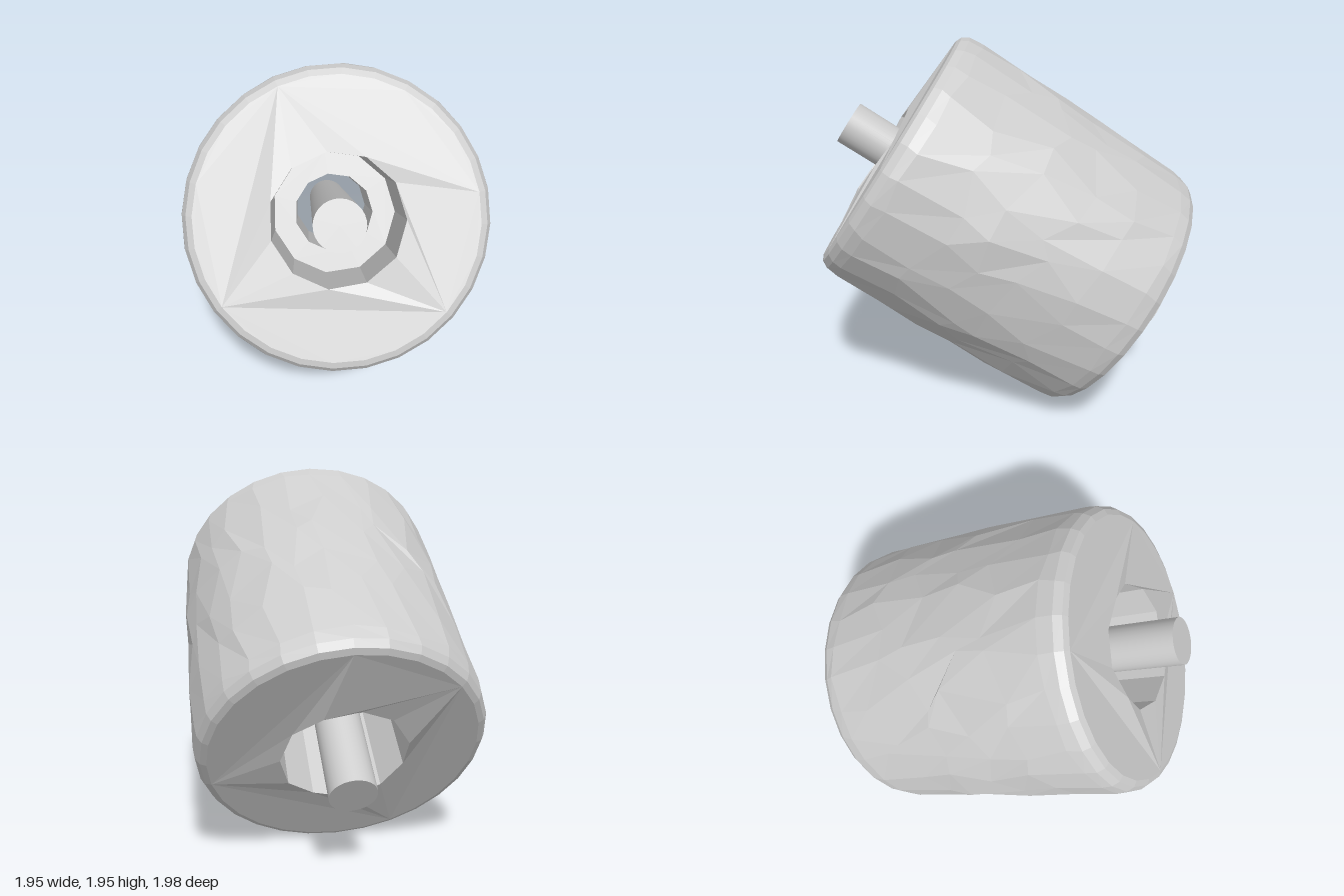
import * as THREE from 'three';

const SIDES = 28, BORE_SIDES = 11;
const BORE = 0.315, WEB_HOLE = 0.2, CAP_Y = 0.74, WEB_Y = 0.27, RIM = 0.66;

// Repeatable noise in -1..1
function noise(i, j) {
  const s = Math.sin(i * 127.1 + j * 311.7) * 43758.5453;
  return 2 * (s - Math.floor(s)) - 1;
}

function polygon(path, radius, sides) {
  const pts = [];
  for (let i = 0; i < sides; i++) {
    const a = (i / sides) * Math.PI * 2;
    pts.push(new THREE.Vector2(Math.sin(a) * radius, Math.cos(a) * radius));
  }
  return path.setFromPoints(pts);
}

// Raise the mouth of the bore a little and unevenly, so the caps get radial facets
function raiseMouth(geometry) {
  const p = geometry.attributes.position;
  for (let k = 0; k < p.count; k++) {
    const x = p.getX(k), y = p.getY(k), z = p.getZ(k);
    if (Math.hypot(x, z) > BORE + 0.01 || Math.abs(y) < CAP_Y - 0.01) continue;
    p.setY(k, y + Math.sign(y) * (0.018 + 0.012 * Math.sin(4 * Math.atan2(x, z))));
  }
  geometry.computeVertexNormals();
  return geometry;
}

// Flat ring at height y along the axis, facing outwards
function ring(outer, outerSides, inner, y) {
  const shape = polygon(new THREE.Shape(), outer, outerSides);
  shape.holes.push(polygon(new THREE.Path(), inner, BORE_SIDES));
  const g = new THREE.ShapeGeometry(shape);
  if (y > 0) g.rotateX(-Math.PI / 2).rotateY(Math.PI);
  else g.rotateX(Math.PI / 2);
  return g.translate(0, y, 0);
}

// Open faceted wall between two heights
function wall(radius, y0, y1) {
  const g = new THREE.CylinderGeometry(radius, radius, Math.abs(y1 - y0), BORE_SIDES, 1, true);
  return g.translate(0, (y0 + y1) / 2, 0);
}

// Outer shell: rounded rims and a slightly bulging side with uneven facets
function shellGeometry() {
  const profile = [
    [RIM, -CAP_Y], [0.69, -0.727], [0.712, -0.69], [0.721, -0.63],
    [0.727, -0.36], [0.73, -0.12], [0.73, 0.12], [0.727, 0.36],
    [0.721, 0.63], [0.712, 0.69], [0.69, 0.727], [RIM, CAP_Y],
  ].map(([r, y]) => new THREE.Vector2(r, y));
  const g = new THREE.LatheGeometry(profile, SIDES);
  const n = profile.length, v = new THREE.Vector3(), up = new THREE.Vector3(0, 1, 0);
  const p = g.attributes.position;
  for (let k = 0; k < p.count; k++) {
    const i = Math.floor(k / n) % SIDES, j = k % n;
    if (j < 3 || j > n - 4) continue;
    const amount = j > 3 && j < n - 4 ? 1 : 0.25;
    const f = 1 + 0.011 * amount * noise(i, j);
    v.fromBufferAttribute(p, k);
    v.set(v.x * f, v.y + 0.08 * amount * noise(i + 40, j), v.z * f);
    v.applyAxisAngle(up, 0.09 * amount * noise(i + 80, j));
    p.setXYZ(k, v.x, v.y, v.z);
  }
  g.computeVertexNormals();
  return g;
}

export function createModel() {
  const roller = new THREE.Group();
  roller.name = 'roller';
  const faceted = new THREE.MeshStandardMaterial({ color: 0xcccccc, flatShading: true, side: THREE.DoubleSide });
  const smooth = new THREE.MeshStandardMaterial({ color: 0xcccccc });

  function add(name, geometry, material = faceted) {
    const mesh = new THREE.Mesh(geometry, material);
    mesh.name = name;
    roller.add(mesh);
  }

  add('shell', shellGeometry());

  // Both ends: cap, deep recess and the shoulder inside it
  for (const [side, s] of [['front', 1], ['back', -1]]) {
    add(side + 'Cap', raiseMouth(ring(RIM, SIDES, BORE, s * CAP_Y)));
    add(side + 'Recess', raiseMouth(wall(BORE, s * WEB_Y, s * CAP_Y)));
    add(side + 'Shoulder', ring(BORE, BORE_SIDES, WEB_HOLE, s * WEB_Y));
  }

  // Narrow passage between the shoulders
  add('passage', wall(WEB_HOLE, -WEB_Y, WEB_Y));

  // Axle running through the bore and out of both ends
  add('axle', new THREE.CylinderGeometry(0.116, 0.116, 1.975, 28), smooth);

  // Tilt the whole roller along its diagonal axis
  const axis = new THREE.Vector3(0.552, 0.552, 0.623).normalize();
  roller.quaternion.setFromUnitVectors(new THREE.Vector3(0, 1, 0), axis);
  roller.position.y = 0.985;

  const root = new THREE.Group();
  root.name = 'tiltedRoller';
  root.add(roller);
  return root;
}
